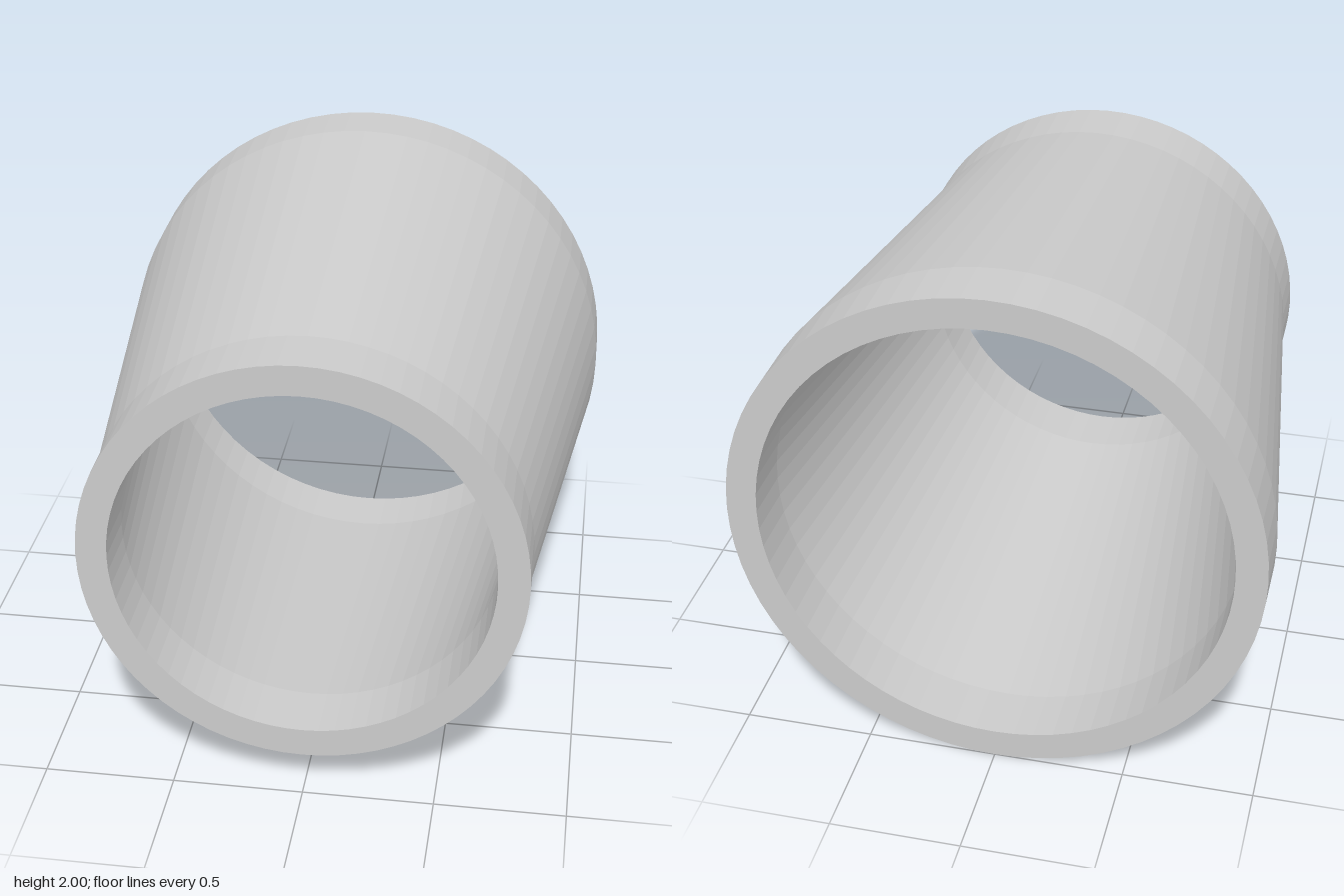
import * as THREE from 'three';

const SEGMENTS = 72;
const WALL = 0.115;

export function createModel() {
  const group = new THREE.Group();
  group.name = 'pipeReducer';

  // Outer wall from the wide back collar to the narrow front collar: [radius, z]
  const outer = [[1, -1], [1, -0.775], [0.82, 0.77], [0.82, 1]];
  // Bore follows the outer wall at constant thickness, then closes at the back rim
  const inner = outer.map(([r, z]) => [r - WALL, z]).reverse();
  const profile = [...outer, ...inner, outer[0]].map(([r, z]) => new THREE.Vector2(r, z));

  // Turn the lathe axis from y to z and rest the wide collar on the floor
  const geometry = new THREE.LatheGeometry(profile, SEGMENTS);
  geometry.rotateX(Math.PI / 2);
  geometry.translate(0, 1, 0);

  const material = new THREE.MeshStandardMaterial({ color: 0xcccccc, flatShading: true });
  const body = new THREE.Mesh(geometry, material);
  body.name = 'taperedSleeve';
  group.add(body);
  return group;
}
